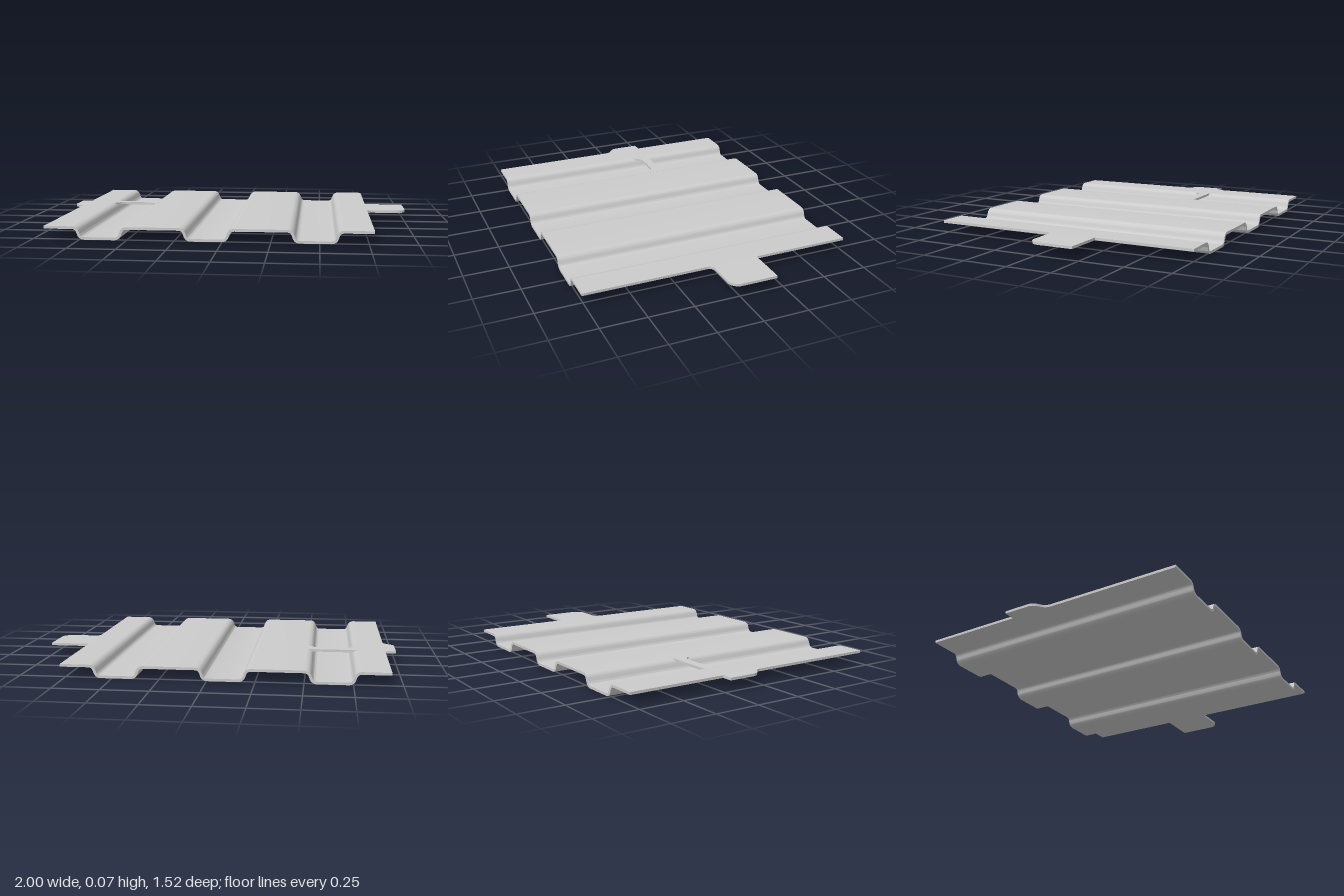
import * as THREE from 'three';
import { toCreasedNormals } from 'three/addons/utils/BufferGeometryUtils.js';

const TOP = 0.07, T = 0.014, LENGTH = 1.525;
const LEFT = -0.94, RIGHT = 0.777;
const GROOVES = [-0.645, -0.083, 0.479];
const HALF_TOP = 0.122, HALF_BOTTOM = 0.103, BEND = 0.024;

export function createModel() {
  const group = new THREE.Group();
  const material = new THREE.MeshStandardMaterial({ color: 0xcccccc });
  const add = (name, geometry) => {
    const mesh = new THREE.Mesh(toCreasedNormals(geometry, 0.5), material);
    mesh.name = name;
    group.add(mesh);
  };

  // Corrugated sheet: centre line with rounded bends, offset to both sides
  const yTop = TOP - T / 2, yBottom = T / 2;
  const corners = [new THREE.Vector2(LEFT, yTop)];
  for (const c of GROOVES) {
    corners.push(
      new THREE.Vector2(c - HALF_TOP, yTop), new THREE.Vector2(c - HALF_BOTTOM, yBottom),
      new THREE.Vector2(c + HALF_BOTTOM, yBottom), new THREE.Vector2(c + HALF_TOP, yTop));
  }
  corners.push(new THREE.Vector2(RIGHT, yTop));

  const upper = [], lower = [];
  const offset = (p, t) => {
    const n = new THREE.Vector2(-t.y, t.x).multiplyScalar(T / 2);
    upper.push(p.clone().add(n));
    lower.push(p.clone().sub(n));
  };
  const flat = new THREE.Vector2(1, 0);
  offset(corners[0], flat);
  for (let i = 1; i < corners.length - 1; i++) {
    const p = corners[i];
    const toward = (q) => p.clone().add(q.clone().sub(p).setLength(BEND));
    const bend = new THREE.QuadraticBezierCurve(toward(corners[i - 1]), p, toward(corners[i + 1]));
    for (let k = 0; k <= 8; k++) offset(bend.getPoint(k / 8), bend.getTangent(k / 8));
  }
  offset(corners[corners.length - 1], flat);
  const profile = new THREE.Shape([...lower, ...upper.reverse()]);
  const sheet = new THREE.ExtrudeGeometry(profile, { depth: LENGTH, bevelEnabled: false });
  sheet.translate(0, 0, -LENGTH / 2);
  add('corrugatedSheet', sheet);

  // Flat pieces are outlined in x and z, with their upper face at the sheet top
  const plate = (name, shape) => {
    const g = new THREE.ExtrudeGeometry(shape, { depth: T, bevelEnabled: false, curveSegments: 10 });
    g.rotateX(Math.PI / 2);
    g.translate(0, TOP, 0);
    add(name, g);
  };

  // Wide tab with a rounded outer corner and a filleted root
  const leftTab = new THREE.Shape();
  leftTab.moveTo(RIGHT, -0.215);
  leftTab.lineTo(1, -0.215);
  leftTab.lineTo(1, -0.015);
  leftTab.absarc(0.94, -0.015, 0.06, 0, Math.PI / 2, false);
  leftTab.lineTo(RIGHT + 0.03, 0.045);
  leftTab.absarc(RIGHT + 0.03, 0.075, 0.03, -Math.PI / 2, -Math.PI, true);
  plate('leftTab', leftTab);

  // Short tab with an S-shaped lower edge
  const rightTab = new THREE.Shape();
  rightTab.moveTo(LEFT, -0.215);
  rightTab.lineTo(-1, -0.215);
  rightTab.lineTo(-1, -0.07);
  rightTab.quadraticCurveTo(-1, -0.04, -0.972, -0.022);
  rightTab.quadraticCurveTo(LEFT, -0.002, LEFT, 0.03);
  plate('rightTab', rightTab);

  // Bridge strip across the first groove, flared where it meets the sheet
  const c = GROOVES[0], w = 0.143;
  const bridge = new THREE.Shape();
  bridge.moveTo(c - w, -0.215);
  bridge.lineTo(c + w, -0.215);
  bridge.lineTo(c + w, -0.11);
  bridge.lineTo(c + 0.118, -0.128);
  bridge.quadraticCurveTo(c + 0.1, -0.162, c + 0.06, -0.162);
  bridge.lineTo(c - 0.06, -0.162);
  bridge.quadraticCurveTo(c - 0.1, -0.162, c - 0.118, -0.128);
  bridge.lineTo(c - w, -0.11);
  plate('grooveBridge', bridge);

  return group;
}
